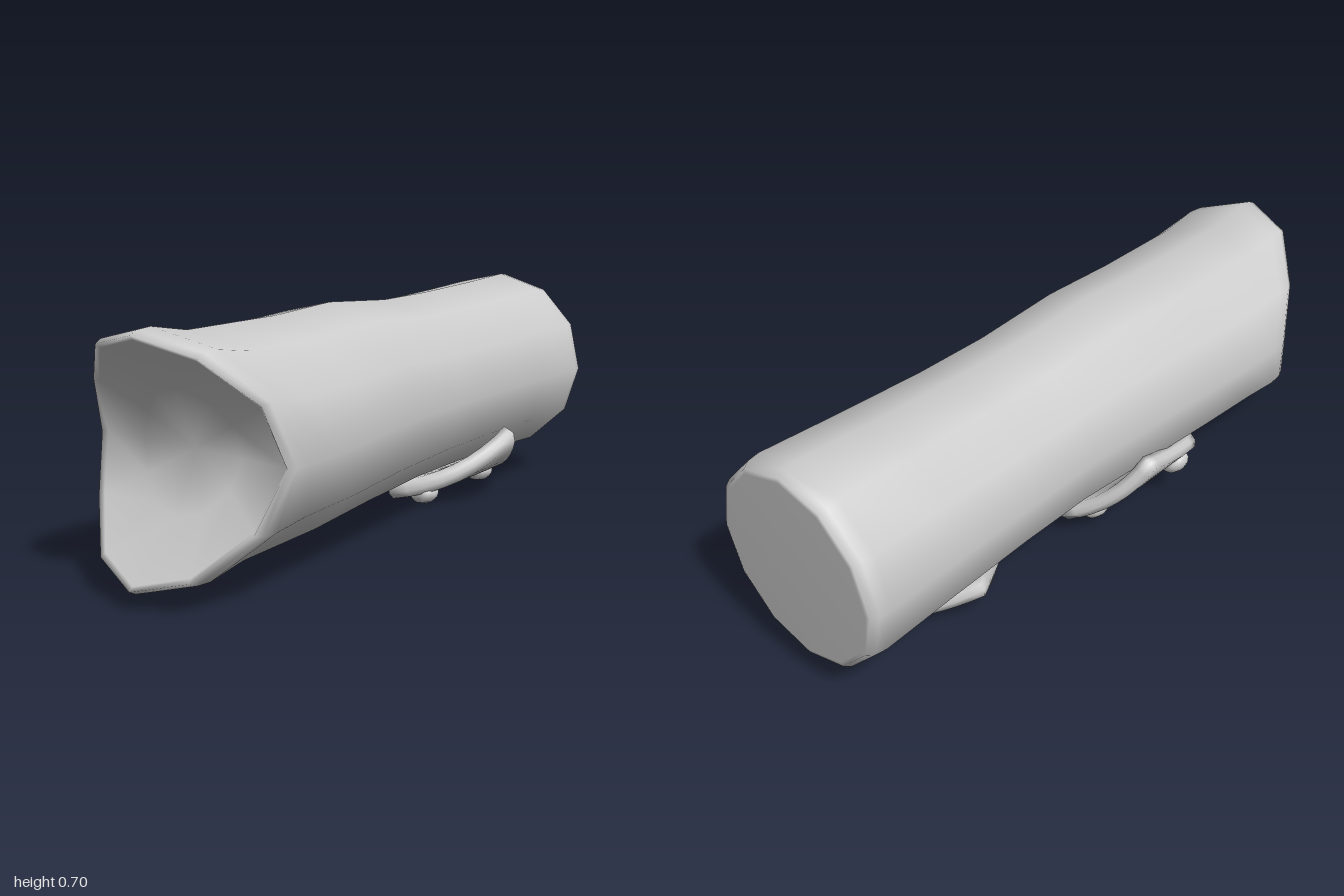
import * as THREE from 'three';
import { mergeVertices } from 'three/addons/utils/BufferGeometryUtils.js';

const material = new THREE.MeshStandardMaterial({ color: 0xcccccc });
const SIDES = 12;
const CENTRE_Y = 0.385;
const rad = THREE.MathUtils.degToRad;

// Depth of the notched front end for a relative height s (0 = middle, 1 = rim)
const notch = (s) => 0.77 + 0.23 * Math.pow(Math.min(Math.abs(s), 1), 1.8);

// One twelve-sided cross-section; z may depend on the sine of the angle
function ring(left, right, bottom, top, zAt, scale = 1) {
  const cx = (left + right) / 2, cy = (bottom + top) / 2;
  const rx = (right - left) / 2 * scale, ry = (top - bottom) / 2 * scale;
  return Array.from({ length: SIDES }, (_, i) => {
    const a = rad(i * 360 / SIDES - 2.5);
    return [cx + rx * Math.cos(a), cy + ry * Math.sin(a), zAt(Math.sin(a))];
  });
}

// Skin a list of rings running from back to front
function skin(rings) {
  const index = [];
  for (let j = 0; j < rings.length - 1; j++) {
    for (let i = 0; i < SIDES; i++) {
      const k = (i + 1) % SIDES;
      const a = j * SIDES + i, b = j * SIDES + k, c = b + SIDES, d = a + SIDES;
      index.push(a, b, c, a, c, d);
    }
  }
  const g = new THREE.BufferGeometry();
  g.setAttribute('position', new THREE.Float32BufferAttribute(rings.flat(2), 3));
  g.setIndex(index);
  const merged = mergeVertices(g, 1e-4);
  merged.computeVertexNormals();
  return merged;
}

function logGeometry() {
  const back = [-0.305, 0.315, 0.085, 0.70];
  const front = [-0.315, 0.32, 0.038, 0.705];
  // Flat back end with a small bevel
  const rings = [[0, -1], [0.9, -1], [0.94, -0.997], [0.985, -0.975], [1, -0.94]]
    .map(([s, z]) => ring(...back, () => z, s));
  // Slightly wavy trunk: z, left, right, bottom, top
  [
    [-0.70, -0.297, 0.305, 0.097, 0.688],
    [-0.40, -0.285, 0.292, 0.10, 0.678],
    [-0.15, -0.283, 0.292, 0.10, 0.676],
    [0.15, -0.30, 0.302, 0.083, 0.695],
    [0.42, -0.305, 0.31, 0.066, 0.682],
  ].forEach(([z, ...box]) => rings.push(ring(...box, () => z)));
  // Flared lip following the notch
  rings.push(ring(-0.312, 0.316, 0.06, 0.682, (s) => notch(s) - 0.21));
  rings.push(ring(...front, (s) => notch(s) - 0.075));
  rings.push(ring(...front, (s) => notch(s) - 0.025, 0.99));
  rings.push(ring(...front, (s) => notch(s), 0.955));
  rings.push(ring(...front, (s) => notch(s) - 0.012, 0.92));
  // Hollowed end face
  rings.push(ring(...front, (s) => notch(0.5 * s) - 0.01, 0.5));
  rings.push(ring(...front, () => 0.75, 0));
  return skin(rings);
}

// Bent plate over four [angle, z] corners, wrapped round the trunk
function patchGeometry(corners, inner, outer) {
  const box = new THREE.BoxGeometry(1, 1, 1, 8, 8, 3);
  box.deleteAttribute('normal');
  box.deleteAttribute('uv');
  const g = mergeVertices(box);
  const p = g.attributes.position;
  const [c0, c1, c2, c3] = corners;
  for (let i = 0; i < p.count; i++) {
    const w = p.getZ(i) + 0.5;
    const inset = w > 0.9 ? 0.94 : 1; // softened outer edge
    const u = p.getX(i) * inset + 0.5, v = p.getY(i) * inset + 0.5;
    const [a, z] = [0, 1].map((k) =>
      (c0[k] * (1 - u) + c1[k] * u) * (1 - v) + (c3[k] * (1 - u) + c2[k] * u) * v);
    const r = inner + (outer - inner) * w;
    p.setXYZ(i, r * Math.cos(rad(a)), CENTRE_Y + r * Math.sin(rad(a)), z);
  }
  g.computeVertexNormals();
  return g;
}

// Rounded nail head sitting on the plate
function nail(angle, z, radius) {
  const mesh = new THREE.Mesh(new THREE.SphereGeometry(0.046, 10, 8), material);
  const a = rad(angle);
  mesh.name = 'nailHead';
  mesh.position.set(radius * Math.cos(a), CENTRE_Y + radius * Math.sin(a), z);
  mesh.rotation.z = a;
  mesh.scale.x = 0.72;
  return mesh;
}

function patch(name, corners, inner, outer, nails) {
  const group = new THREE.Group();
  group.name = name;
  const plate = new THREE.Mesh(patchGeometry(corners, inner, outer), material);
  plate.name = 'plate';
  group.add(plate, ...nails.map(([a, z]) => nail(a, z, outer + 0.003)));
  return group;
}

export function createModel() {
  const model = new THREE.Group();
  model.name = 'patchedLog';
  const trunk = new THREE.Mesh(logGeometry(), material);
  trunk.name = 'trunk';
  model.add(trunk);
  model.add(patch('backPatch',
    [[-86, -0.81], [-28, -0.5], [-88, -0.19], [-126, -0.52]],
    0.295, 0.352, [[-78, -0.69], [-78, -0.31]]));
  model.add(patch('middlePatch',
    [[-110, -0.1], [-97, 0.27], [-138, 0.39], [-163, 0.07]],
    0.295, 0.345, [[-115, 0.01], [-134, 0.29]]));
  return model;
}
